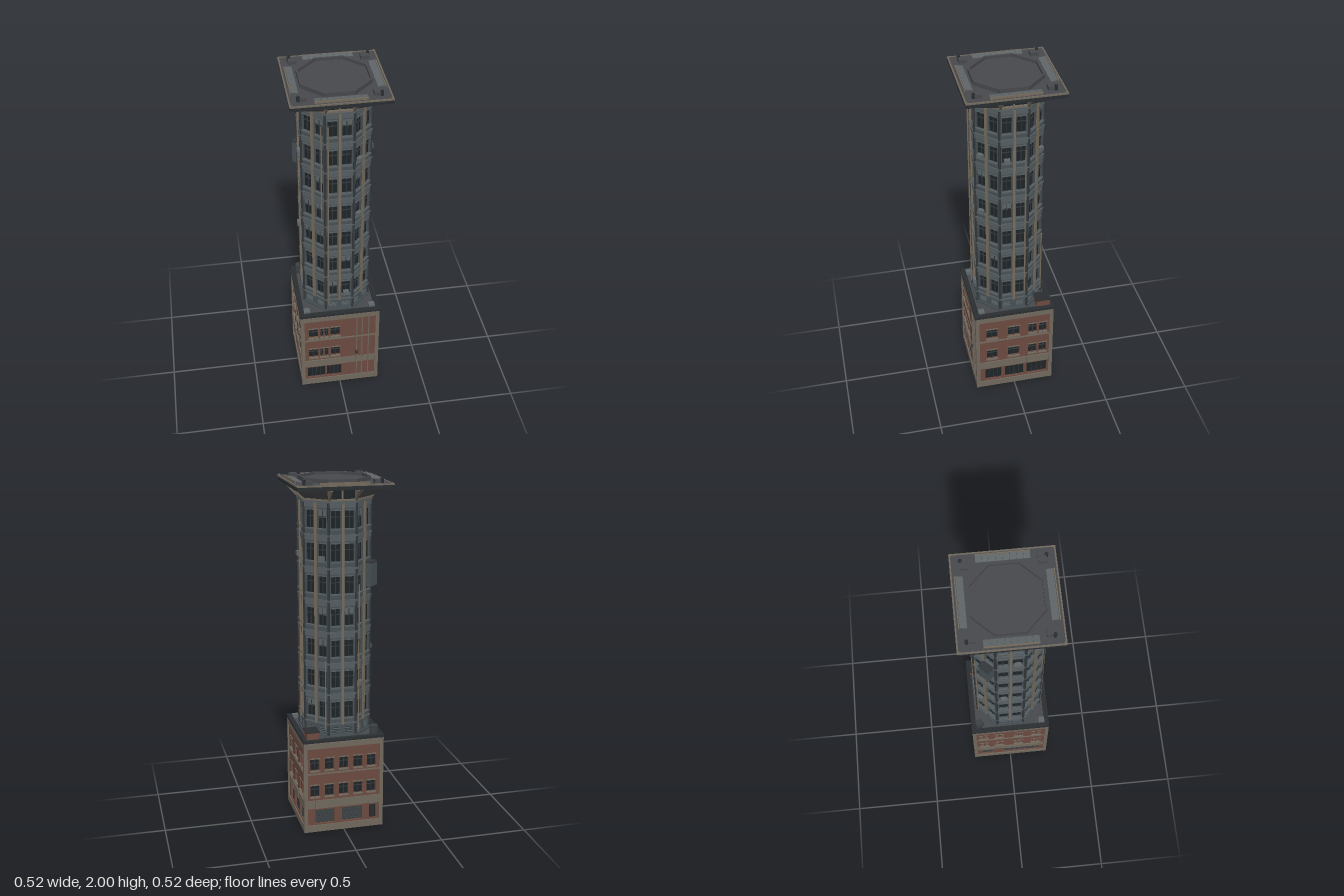
import * as THREE from 'three';
import { ConvexGeometry } from 'three/addons/geometries/ConvexGeometry.js';

const mat = (color) => new THREE.MeshStandardMaterial({ color, flatShading: true, side: THREE.DoubleSide });
const M = {
  brick: mat(0x6b4a3f), trim: mat(0x6f675c), dark: mat(0x2a2e31), glass: mat(0x1d2327),
  tower: mat(0x465055), ledge: mat(0x555d60), pilaster: mat(0x756a5a), roof: mat(0x47484c),
  panel: mat(0x5f6568), pipe: mat(0x33373a), shutter: mat(0x3b4043), blind: mat(0x5a6466),
};

function add(parent, name, geo, material, x = 0, y = 0, z = 0) {
  const m = new THREE.Mesh(geo, material);
  m.name = name;
  m.position.set(x, y, z);
  parent.add(m);
  return m;
}
const box = (p, name, m, w, h, d, x, y, z) => add(p, name, new THREE.BoxGeometry(w, h, d), m, x, y, z);
const pipe = (p, name, m, r, h, x, y, z) => add(p, name, new THREE.CylinderGeometry(r, r, h, 8), m, x, y, z);

// group turned so that its local +z points out of one side
function side(parent, name, angle) {
  const g = new THREE.Group();
  g.name = name;
  g.rotation.y = angle;
  parent.add(g);
  return g;
}

// flat wall with rectangular openings [x, y, w, h]; outer face at z
function wall(parent, m, width, y0, y1, openings, z, thick) {
  const rect = (T, x, y, w, h) => new T([[-1, -1], [1, -1], [1, 1], [-1, 1]].map(
    ([a, b]) => new THREE.Vector2(x + a * w / 2, y + b * h / 2)));
  const s = rect(THREE.Shape, 0, (y0 + y1) / 2, width, y1 - y0);
  s.holes = openings.map((o) => rect(THREE.Path, ...o));
  add(parent, 'wall', new THREE.ExtrudeGeometry(s, { depth: thick, bevelEnabled: false }), m, 0, 0, z - thick);
}

// eight-sided prism with flats facing the axes
function octagon(parent, name, m, apothem, y0, y1) {
  const r = apothem / Math.cos(Math.PI / 8);
  const geo = new THREE.CylinderGeometry(r, r, y1 - y0, 8).rotateY(Math.PI / 8);
  return add(parent, name, geo, m, 0, (y0 + y1) / 2, 0);
}

// frame bars and sill round an opening
function windowFrame(p, x, y, w, h, z, sillMat) {
  box(p, 'windowMullion', M.pipe, 0.004, h, 0.005, x, y, z - 0.007);
  box(p, 'windowTransom', M.pipe, w, 0.004, 0.005, x, y + h * 0.15, z - 0.007);
  box(p, 'windowSill', sillMat, w + 0.008, 0.007, 0.012, x, y - h / 2 - 0.003, z + 0.002);
  box(p, 'windowLintel', sillMat, w + 0.006, 0.006, 0.008, x, y + h / 2 + 0.003, z);
}

let seed = 7;
const rnd = () => (seed = (seed * 16807) % 2147483647) / 2147483647;

// brick podium, open underneath
function podium(root) {
  const g = side(root, 'podium', 0);
  const W = 0.224;
  const sides = [
    { name: 'front', win: [[-0.158, 0.055], [-0.108, 0.018], [-0.08, 0.022], [-0.028, 0.055]],
      ground: [[-0.142, 0.105], [-0.035, 0.09]] },
    { name: 'right', win: [[-0.135, 0.065], [-0.005, 0.07], [0.11, 0.05], [0.172, 0.045]],
      ground: [[-0.128, 0.1], [0, 0.115], [0.138, 0.125]] },
    { name: 'back', win: [-0.168, -0.084, 0, 0.084, 0.162].map((x) => [x, 0.052]),
      ground: [[-0.11, 0.11], [0.05, 0.12], [0.172, 0.04]], shutters: true },
    { name: 'left', win: [[-0.165, 0.055], [-0.07, 0.055], [0.05, 0.055], [0.16, 0.055]],
      ground: [[-0.145, 0.07], [0.07, 0.22]], shutters: true },
  ];
  sides.forEach((s, i) => {
    const f = side(g, s.name + 'Side', i * Math.PI / 2);
    const upper = [0.41, 0.25].flatMap((y) => s.win.map(([x, w]) => [x, y, w, 0.07]));
    const low = s.ground.map(([x, w]) => [x, 0.09, w, 0.085]);
    wall(f, M.brick, 2 * W, 0, 0.555, [...upper, ...low], W, 0.016);
    for (const [x, y, w, h] of upper) {
      box(f, 'windowGlass', M.glass, w + 0.01, h + 0.01, 0.004, x, y, W - 0.017);
      windowFrame(f, x, y, w, h, W, M.trim);
    }
    for (const [x, y, w, h] of low) {
      box(f, 'shopGlass', M.glass, w + 0.006, h + 0.006, 0.008, x, y, W - 0.018);
      box(f, 'signBoard', M.trim, w + 0.006, 0.05, 0.01, x, 0.168, W + 0.002);
      if (s.shutters && w > 0.05)
        for (let k = 0; k < 6; k++) box(f, 'shutterSlat', M.shutter, w, 0.009, 0.008, x, 0.057 + k * 0.0135, W - 0.01);
      else
        for (let k = 1; k < 4; k++) box(f, 'shopMullion', M.pipe, 0.004, h, 0.006, x + w * (k / 4 - 0.5), y, W - 0.009);
    }
    // plinth, string courses and cornice
    box(f, 'plinth', M.trim, 2 * W + 0.012, 0.04, 0.012, 0, 0.02, W + 0.001);
    box(f, 'signBand', M.trim, 2 * W, 0.05, 0.006, 0, 0.168, W);
    box(f, 'stringCourse', M.trim, 2 * W, 0.008, 0.008, 0, 0.355, W + 0.001);
    box(f, 'cornice', M.trim, 2 * W + 0.016, 0.032, 0.016, 0, 0.524, W);
    box(f, 'parapet', M.dark, 2 * W + 0.02, 0.016, 0.028, 0, 0.552, W - 0.004);
    box(f, 'cornerPier', M.trim, 0.022, 0.55, 0.022, W - 0.003, 0.275, W - 0.003);
  });
  const front = g.children[0];
  for (const x of [0.1, 0.132, 0.17]) pipe(front, 'drainPipe', M.trim, 0.004, 0.47, x, 0.275, W + 0.004);
  box(front, 'meterBox', M.pipe, 0.016, 0.022, 0.012, 0.1, 0.23, W + 0.006);
  box(g, 'podiumRoof', M.roof, 2 * W - 0.02, 0.012, 2 * W - 0.02, 0, 0.544, 0);
  // plant on the podium roof
  box(g, 'stairHut', M.brick, 0.07, 0.05, 0.08, 0.175, 0.575, -0.175);
  box(g, 'stairHutRoof', M.dark, 0.076, 0.006, 0.086, 0.175, 0.602, -0.175);
  pipe(g, 'waterTank', M.shutter, 0.024, 0.055, -0.185, 0.578, -0.185);
  box(g, 'roofVent', M.panel, 0.035, 0.022, 0.035, -0.19, 0.56, 0.19);
  box(g, 'roofVent', M.panel, 0.035, 0.022, 0.035, 0.19, 0.56, 0.19);
}

// eight-sided tower of seven storeys
function tower(root) {
  const g = side(root, 'tower', 0);
  const A = 0.188, face = 2 * A * Math.tan(Math.PI / 8), pitch = 0.178;
  const floors = Array.from({ length: 7 }, (_, i) => 0.715 + i * pitch);
  octagon(g, 'glassCore', M.glass, A - 0.012, 0.55, 1.95);
  for (let i = 0; i < 8; i++) {
    const f = side(g, 'towerFace', i * Math.PI / 4);
    const openings = floors.flatMap((y) => [-0.038, 0.038].map((x) => [x, y, 0.05, 0.096]));
    const vents = [-0.038, 0.038].map((x) => [x, 0.592, 0.046, 0.036]);
    wall(f, M.tower, face, 0.55, 1.885, [...openings, ...vents], A, 0.011);
    for (const [x, y, w, h] of openings) {
      windowFrame(f, x, y, w, h, A, M.ledge);
      const r = rnd();
      if (r < 0.25) box(f, 'blind', M.blind, w, h * 0.4, 0.004, x, y + h * 0.3, A - 0.008);
      else if (r > 0.92) box(f, 'airConditioner', M.panel, 0.032, 0.026, 0.022, x, y - 0.034, A + 0.006);
    }
    for (const [x, y, w] of vents)
      for (let k = -1; k < 2; k++) box(f, 'ventSlat', M.ledge, w, 0.004, 0.006, x, y + k * 0.01, A - 0.006);
    for (const y of floors) box(f, 'spandrelPanel', M.ledge, face * 0.92, 0.026, 0.006, 0, y + 0.076, A + 0.001);
    box(f, 'pilaster', M.pilaster, 0.014, 1.24, 0.014, 0, 1.25, A + 0.004);
    box(f, 'neckMullion', M.pilaster, 0.01, 0.06, 0.012, 0, 1.915, A - 0.008);
    pipe(f, 'cornerColumn', M.pipe, 0.007, 1.32, face / 2, 1.215, A - 0.001);
  }
  // storey ledges
  for (const y of [0.635, ...floors.map((v) => v + 0.094)]) octagon(g, 'storeyLedge', M.ledge, A + 0.006, y - 0.006, y + 0.004);
  octagon(g, 'baseLedge', M.tower, A + 0.007, 0.55, 0.565);
  octagon(g, 'topLedge', M.trim, A + 0.005, 1.876, 1.89);

  // service box hung on the back diagonal face, with its pipe
  const d = side(g, 'serviceUnit', Math.PI * 1.25);
  box(d, 'serviceBox', M.tower, 0.065, 0.13, 0.045, 0.035, 1.47, A + 0.024);
  box(d, 'serviceBoxLid', M.pipe, 0.07, 0.008, 0.05, 0.035, 1.538, A + 0.024);
  // service pipes
  [[0, -0.062, 1.2, 1.2], [2, 0.062, 1.15, 0.95], [3, 0.062, 0.8, 0.4], [5, -0.06, 1.0, 0.85], [7, 0.06, 1.5, 0.6]]
    .forEach(([i, x, y, h]) => pipe(side(g, 'pipeRun', i * Math.PI / 4), 'servicePipe', M.pilaster, 0.004, h, x, y, A + 0.008));
}

// square overhanging roof
function roof(root) {
  const g = side(root, 'roof', 0);
  box(g, 'roofSlab', M.roof, 0.515, 0.026, 0.515, 0, 1.96, 0);
  octagon(g, 'roofDeck', M.roof, 0.178, 1.97, 1.979);
  const v = (x, y, z) => new THREE.Vector3(x, y, z);
  for (let i = 0; i < 4; i++) {
    const f = side(g, 'roofSide', i * Math.PI / 2);
    box(f, 'roofRim', M.trim, 0.524, 0.008, 0.008, 0, 1.971, 0.258);
    box(f, 'roofFascia', M.dark, 0.522, 0.022, 0.006, 0, 1.958, 0.257);
    // rooftop panels and their rail
    for (let k = 0; k < 8; k++) {
      const p = box(f, 'roofPanel', M.panel, 0.0325, 0.004, 0.036, -0.118 + k * 0.0337, 1.981, 0.22);
      p.rotation.x = -0.15;
    }
    box(f, 'panelRail', M.pilaster, 0.27, 0.012, 0.005, 0, 1.98, 0.242);
    // corner vent and flue
    box(f, 'ventBox', M.roof, 0.045, 0.02, 0.045, 0.192, 1.982, 0.192);
    pipe(f, 'flue', M.dark, 0.009, 0.028, 0.208, 1.986, 0.212);
    pipe(f, 'cornerLamp', M.pilaster, 0.004, 0.008, 0.252, 1.977, 0.252);
    // sloping gusset under each corner
    add(f, 'cornerGusset', new ConvexGeometry([v(0.25, 1.948, 0.25), v(0.25, 1.948, 0.1), v(0.1, 1.948, 0.25),
      v(0.185, 1.89, 0.078), v(0.078, 1.89, 0.185), v(0.13, 1.948, 0.13)]), M.roof);
    // brackets below the straight sides
    for (const x of [-0.074, 0.074]) {
      const s = new THREE.Shape([[0.17, 1.88], [0.192, 1.88], [0.25, 1.94], [0.25, 1.948], [0.17, 1.948]].map(
        ([a, b]) => new THREE.Vector2(a, b)));
      const geo = new THREE.ExtrudeGeometry(s, { depth: 0.01, bevelEnabled: false });
      add(f, 'roofBracket', geo.rotateY(-Math.PI / 2), M.trim, x + 0.005, 0, 0);
    }
  }
  // eight-sided kerb
  const kerb = 0.182, len = 2 * 0.185 * Math.tan(Math.PI / 8);
  for (let i = 0; i < 8; i++)
    box(side(g, 'kerbSide', i * Math.PI / 4), 'kerb', M.roof, len, 0.024, 0.01, 0, 1.983, kerb);
}

export function createModel() {
  const root = new THREE.Group();
  root.name = 'towerBuilding';
  podium(root);
  tower(root);
  roof(root);
  return root;
}
